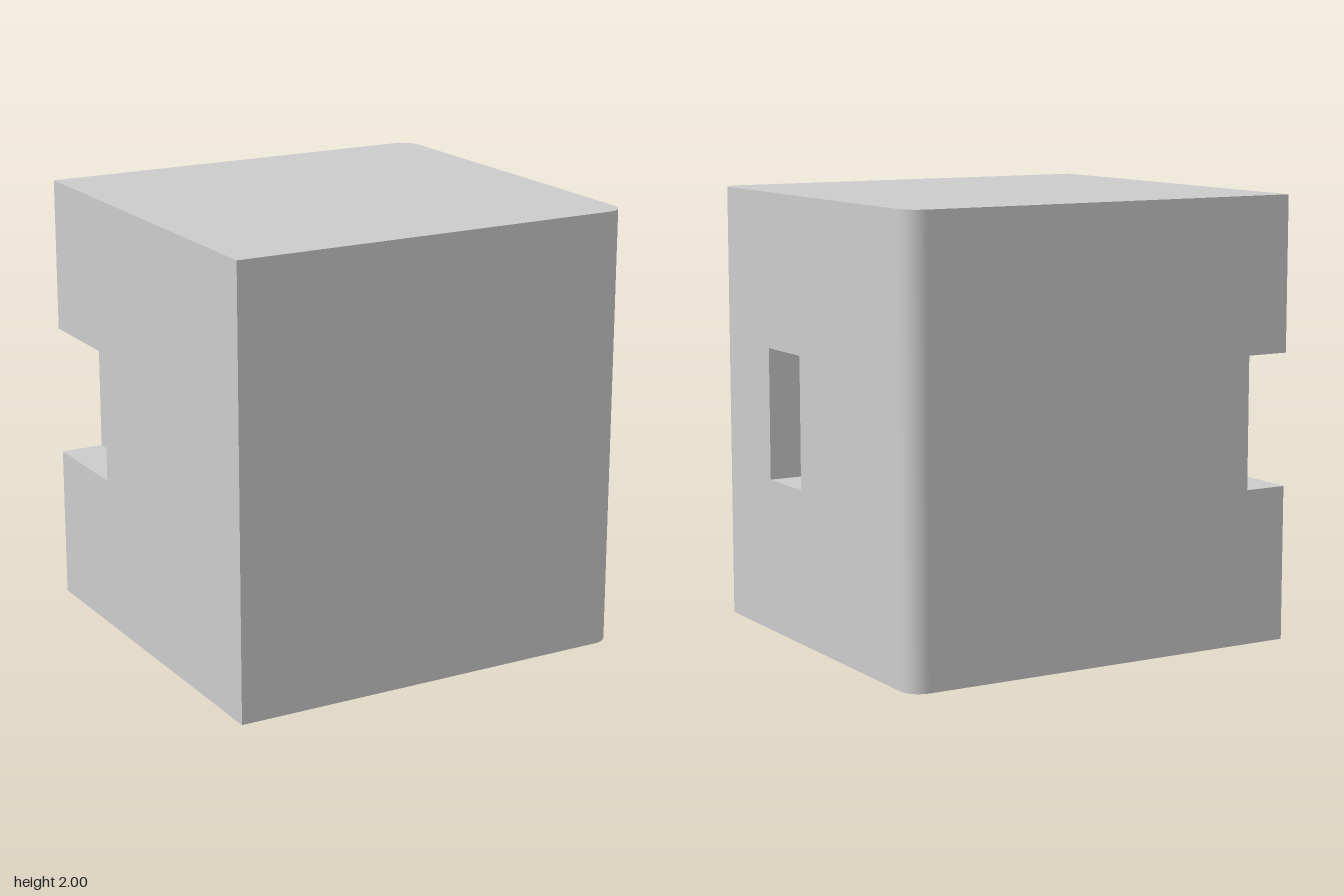
import * as THREE from 'three';
import { mergeGeometries } from 'three/addons/utils/BufferGeometryUtils.js';

const X = 0.95, Z = 0.9, H = 2, R = 0.09, ARC = 10; // half width, half depth, height, corner radius
const Y0 = 0.7, Y1 = 1.3;                           // bottom and top of both recesses
const POCKET = { x0: 0.55, x1: X, z0: 0.1, z1: 0.41 };
const NOTCH = { x0: -X, x1: -0.75, z0: -Z, z1: -0.4 };

// In-plane directions (u, v) for each outward normal
const AXES = {
  front: [[1, 0, 0], [0, 1, 0]], back: [[-1, 0, 0], [0, 1, 0]],
  right: [[0, 0, -1], [0, 1, 0]], left: [[0, 0, 1], [0, 1, 0]],
  up: [[1, 0, 0], [0, 0, -1]], down: [[1, 0, 0], [0, 0, 1]],
};

const rect = (u0, v0, u1, v1) => [[u0, v0], [u1, v0], [u1, v1], [u0, v1]];
const toShape = (pts) => new THREE.Shape(pts.map((p) => new THREE.Vector2(...p)));

// Flat face looking along the named direction, d units out from the origin
function face(direction, d, shape) {
  const [u, v] = AXES[direction].map((a) => new THREE.Vector3(...a));
  const n = u.clone().cross(v);
  const m = new THREE.Matrix4().makeBasis(u, v, n).setPosition(n.clone().multiplyScalar(d));
  return new THREE.ShapeGeometry(shape, ARC).applyMatrix4(m);
}

// Inward-looking floor and ceiling of a recess
function floorAndCeiling({ x0, x1, z0, z1 }) {
  return [
    face('up', Y0, toShape(rect(x0, -z1, x1, -z0))),
    face('down', -Y1, toShape(rect(x0, z0, x1, z1))),
  ];
}

export function createModel() {
  const group = new THREE.Group();
  const material = new THREE.MeshStandardMaterial({ color: 0xcccccc });
  const add = (name, parts) => {
    const mesh = new THREE.Mesh(mergeGeometries(parts), material);
    mesh.name = name;
    group.add(mesh);
  };

  // Plan outline with two rounded corners on the +x side
  const plan = new THREE.Shape();
  plan.moveTo(-X, -Z);
  plan.lineTo(X - R, -Z);
  plan.absarc(X - R, -Z + R, R, -Math.PI / 2, 0);
  plan.absarc(X - R, Z - R, R, 0, Math.PI / 2);
  plan.lineTo(-X, Z);

  // Side panels, opened where the recesses break through
  const rightPanel = toShape(rect(R - Z, 0, Z - R, H));
  rightPanel.holes.push(toShape(rect(-POCKET.z1, Y0, -POCKET.z0, Y1)));
  const backPanel = toShape([[R - X, 0], [X, 0], [X, Y0], [-NOTCH.x1, Y0],
    [-NOTCH.x1, Y1], [X, Y1], [X, H], [R - X, H]]);
  const leftPanel = toShape([[-Z, 0], [Z, 0], [Z, H], [-Z, H],
    [-Z, Y1], [NOTCH.z1, Y1], [NOTCH.z1, Y0], [-Z, Y0]]);

  // Rounded vertical edges
  const corners = [1, -1].map((s) =>
    new THREE.CylinderGeometry(R, R, H, ARC, 1, true, s > 0 ? 0 : Math.PI / 2, Math.PI / 2)
      .translate(X - R, H / 2, s * (Z - R)));

  add('block', [
    face('up', H, plan),
    face('down', 0, plan),
    face('front', Z, toShape(rect(-X, 0, X - R, H))),
    face('right', X, rightPanel),
    face('back', Z, backPanel),
    face('left', X, leftPanel),
    ...corners,
  ]);

  // Blind rectangular pocket in the +x side
  add('sidePocket', [
    ...floorAndCeiling(POCKET),
    face('front', POCKET.z0, toShape(rect(POCKET.x0, Y0, POCKET.x1, Y1))),
    face('back', -POCKET.z1, toShape(rect(-POCKET.x1, Y0, -POCKET.x0, Y1))),
    face('right', POCKET.x0, toShape(rect(-POCKET.z1, Y0, -POCKET.z0, Y1))),
  ]);

  // Notch cut across the sharp rear corner
  add('cornerNotch', [
    ...floorAndCeiling(NOTCH),
    face('left', -NOTCH.x1, toShape(rect(NOTCH.z0, Y0, NOTCH.z1, Y1))),
    face('back', -NOTCH.z1, toShape(rect(-NOTCH.x1, Y0, -NOTCH.x0, Y1))),
  ]);

  return group;
}
